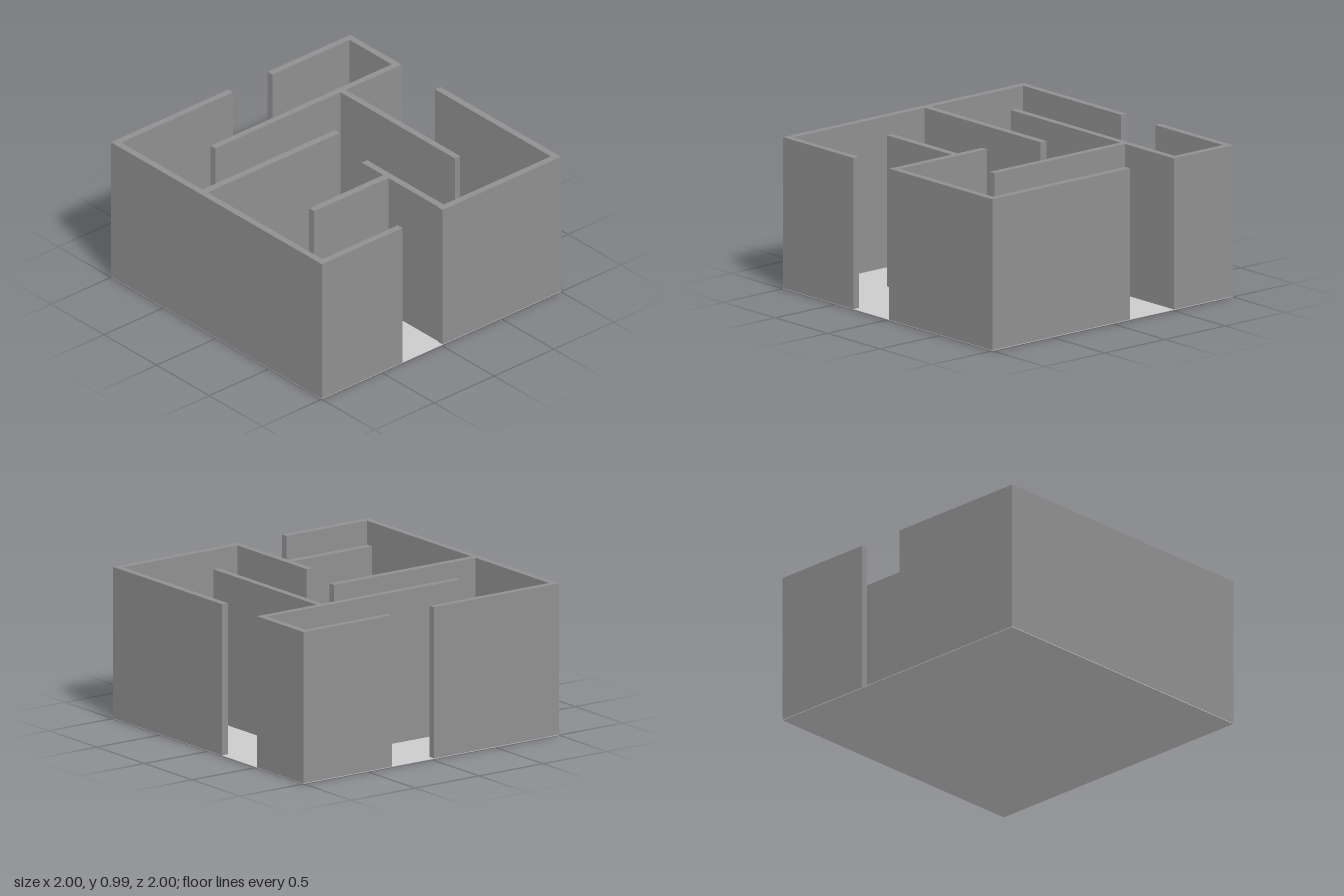
import * as THREE from 'three';

const HEIGHT = 0.985;
const FLOOR = 0.004;

// name, x from, x to, z from, z to
const WALLS = [
  // outer walls, with a doorway at the front, back and left side
  ['rightOuterWall', -1, -0.955, -1, 1],
  ['backWallRight', -0.955, -0.02, -1, -0.955],
  ['backWallLeft', 0.31, 0.955, -1, -0.955],
  ['leftWallBack', 0.955, 1, -1, -0.51],
  ['leftWallFront', 0.955, 1, -0.145, 1],
  ['frontWallRight', -0.955, -0.325, 0.955, 1],
  ['frontWallLeft', 0.01, 0.955, 0.955, 1],
  // partitions
  ['backPartition', -0.56, 0.955, -0.555, -0.51],
  ['middlePartition', -0.955, 0.155, -0.185, -0.137],
  ['leftPartition', 0.487, 0.531, -0.51, 0.575],
  ['frontPartition', 0.015, 0.06, 0.228, 0.955],
  ['frontSidePartition', -0.605, 0.015, 0.432, 0.48],
];

export function createModel() {
  const model = new THREE.Group();
  model.name = 'floorPlan';
  const wallMaterial = new THREE.MeshStandardMaterial({ color: 0x909090 });
  const floorMaterial = new THREE.MeshStandardMaterial({ color: 0xcccccc });

  function block(name, x0, x1, z0, z1, y0, y1, material) {
    const mesh = new THREE.Mesh(new THREE.BoxGeometry(x1 - x0, y1 - y0, z1 - z0), material);
    mesh.position.set((x0 + x1) / 2, (y0 + y1) / 2, (z0 + z1) / 2);
    mesh.name = name;
    model.add(mesh);
  }

  // thin floor slab
  block('floor', -1, 1, -1, 1, 0, FLOOR, floorMaterial);

  // walls standing on the floor
  for (const [name, x0, x1, z0, z1] of WALLS) {
    block(name, x0, x1, z0, z1, FLOOR, HEIGHT, wallMaterial);
  }
  return model;
}
